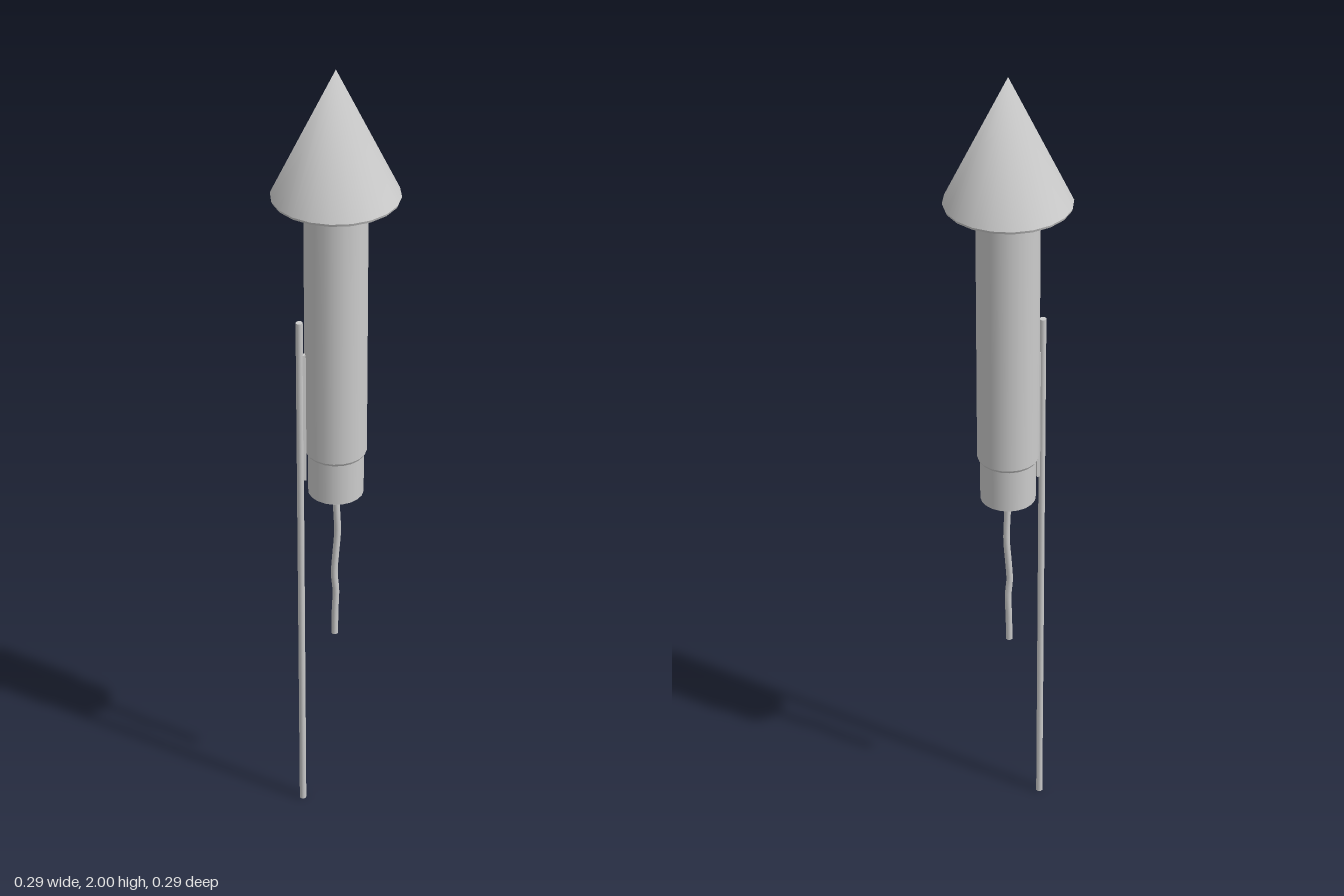
import * as THREE from 'three';
import { mergeVertices } from 'three/addons/utils/BufferGeometryUtils.js';

const SIDES = 20;

export function createModel() {
  const rocket = new THREE.Group();
  rocket.name = 'fireworkRocket';
  const grey = new THREE.MeshStandardMaterial({ color: 0xcccccc });
  grey.name = 'light grey';

  const add = (name, geometry, x = 0, y = 0, z = 0) => {
    const mesh = new THREE.Mesh(geometry, grey);
    mesh.name = name;
    mesh.position.set(x, y, z);
    rocket.add(mesh);
    return mesh;
  };
  // Upright cylinder given by its bottom and top heights
  const column = (name, rTop, rBottom, y0, y1, x = 0, sides = SIDES) =>
    add(name, new THREE.CylinderGeometry(rTop, rBottom, y1 - y0, sides), x, (y0 + y1) / 2);

  // Nose cone, with normals shared at the tip for a soft dome-like shading
  let cone = new THREE.ConeGeometry(0.147, 0.3, SIDES, 1, true);
  cone.deleteAttribute('uv');
  cone.deleteAttribute('normal');
  cone = mergeVertices(cone);
  cone.computeVertexNormals();
  add('noseCone', cone, 0, 1.85);
  column('noseRim', 0.147, 0.145, 1.694, 1.7);

  // Body tube with a small bevel at its foot, and the narrower nozzle
  column('bodyTube', 0.073, 0.073, 1.036, 1.697);
  column('bodyBevel', 0.073, 0.069, 1.029, 1.036);
  column('nozzle', 0.066, 0.066, 0.92, 1.032);

  // Guide stick and the strip that fixes it to the body
  column('guideStick', 0.0085, 0.0085, 0, 1.385, -0.086, 8);
  add('stickMount', new THREE.BoxGeometry(0.008, 0.34, 0.01), -0.076, 1.13);

  // Wavy fuse hanging from a small collar
  column('fuseCollar', 0.015, 0.009, 0.898, 0.92, 0, 10);
  const path = new THREE.CatmullRomCurve3(
    [[0, 0.91], [0.002, 0.86], [0.004, 0.8], [-0.001, 0.73], [-0.004, 0.68], [0, 0.63], [-0.002, 0.57], [-0.003, 0.503]]
      .map(([x, y]) => new THREE.Vector3(x, y, 0)));
  add('fuse', new THREE.TubeGeometry(path, 24, 0.0085, 8));
  add('fuseEnd', new THREE.CircleGeometry(0.0085, 8), -0.003, 0.503).rotation.x = Math.PI / 2;

  return rocket;
}
